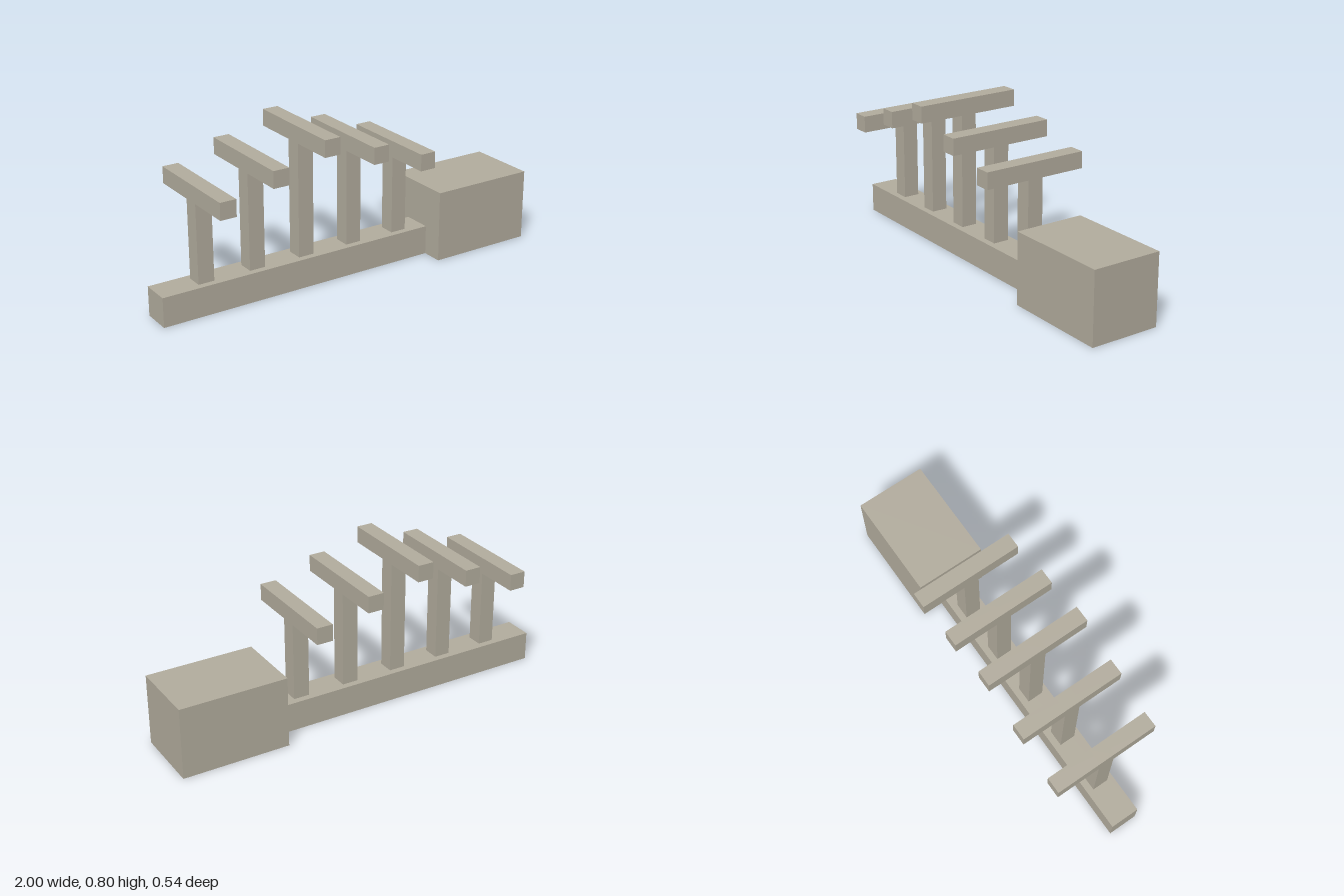
import * as THREE from 'three';

const stone = new THREE.MeshStandardMaterial({ color: 0xb3ad9e, side: THREE.DoubleSide });
stone.name = 'warmGrey';

// Box shell standing on y0, left open underneath
function shell(name, x0, x1, y0, y1, depth) {
  const geometry = new THREE.BoxGeometry(x1 - x0, y1 - y0, depth);
  const index = Array.from(geometry.index.array);
  index.splice(18, 6); // drop the bottom face
  geometry.setIndex(index);
  geometry.clearGroups();
  const mesh = new THREE.Mesh(geometry, stone);
  mesh.name = name;
  mesh.position.set((x0 + x1) / 2, (y0 + y1) / 2, 0);
  return mesh;
}

export function createModel() {
  const model = new THREE.Group();
  model.name = 'beamWithTees';

  // Long base beam and the block at its end
  model.add(shell('baseBeam', -1, 0.46, 0, 0.147, 0.147));
  model.add(shell('endBlock', 0.46, 1, 0, 0.358, 0.358));

  // Row of T-shaped posts, tallest in the middle
  const width = 0.081, barHeight = 0.083;
  const tops = [0.623, 0.711, 0.8, 0.711, 0.623];
  tops.forEach((top, i) => {
    const x0 = -0.802 + i * 0.2685, x1 = x0 + width;
    const tee = new THREE.Group();
    tee.name = `tee${i + 1}`;
    tee.add(shell('post', x0, x1, 0, top, width));
    tee.add(shell('crossbar', x0, x1, top - barHeight, top, 0.537));
    model.add(tee);
  });

  return model;
}
